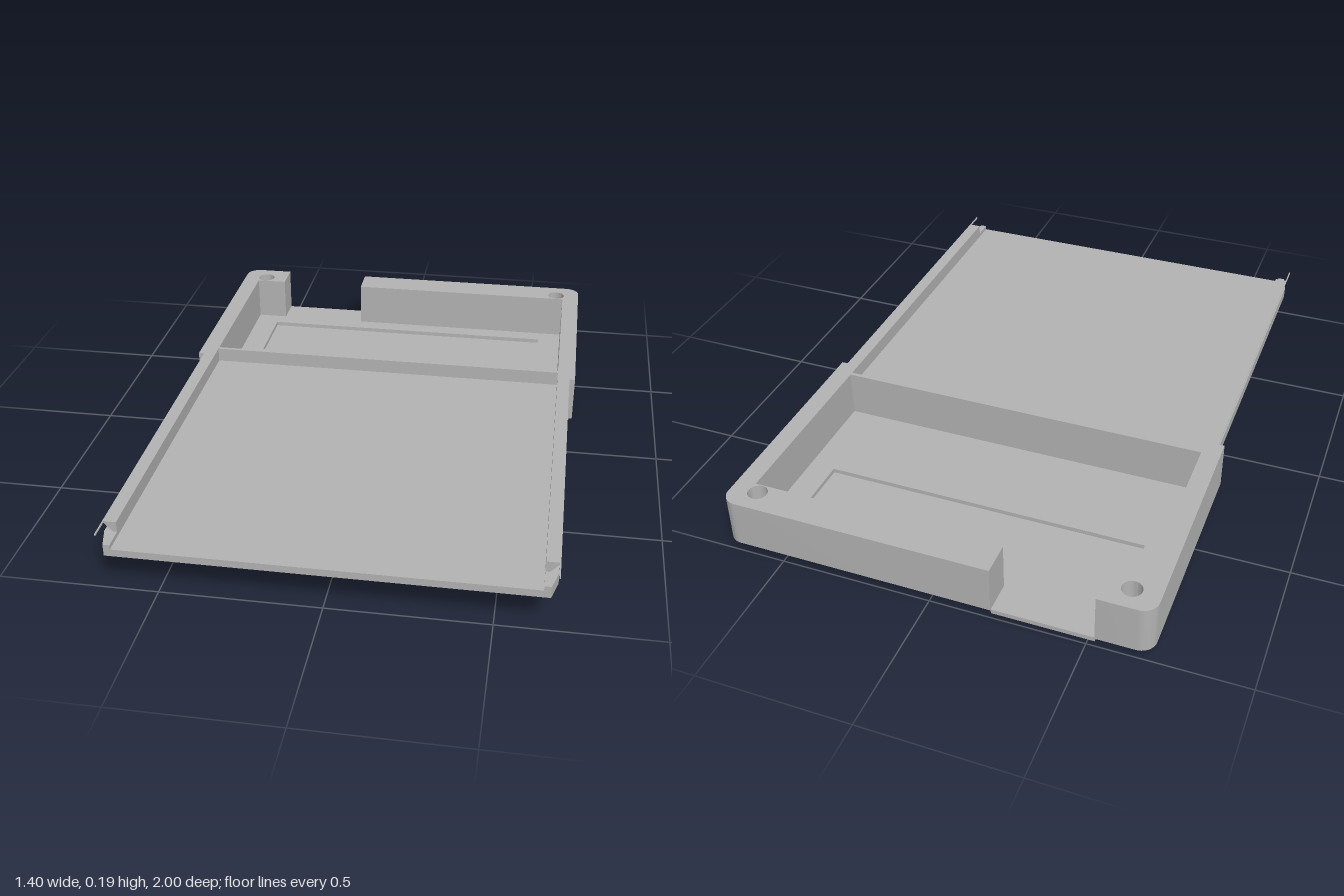
import * as THREE from 'three';
import { mergeGeometries, toCreasedNormals } from 'three/addons/utils/BufferGeometryUtils.js';

const W = 0.7, BACK = -1, FRONT = -0.19, TOP = 0.19; // rear housing
const IN = 0.637, CAV_BACK = -0.89, CAV_FRONT = -0.25; // cavity
const FLOOR = 0.03, R = 0.05; // cavity floor height, edge rounding
const PLATE_LOW = 0.116, PLATE_TOP = 0.14; // tray plate
const CUT_L = -0.525, CUT_R = -0.2; // opening in the rear wall
const HX = 0.61, HZ = -0.925, HOLE = 0.032, BORE = 0.045; // screw holes

// Height of the rounded underside at a point
function underside(x, z) {
  const ax = Math.abs(x), cx = W - R, cz = BACK + R;
  let d = ax > cx && z < cz
    ? R - Math.hypot(ax - cx, z - cz)
    : Math.min(W - ax, z - BACK, FRONT - z);
  d = Math.min(R, Math.max(0, d));
  return Math.min(FLOOR, R - Math.sqrt(R * R - (R - d) ** 2));
}

// Quad grid through point(i, j)
function grid(nu, nv, point) {
  const pos = [], index = [];
  for (let j = 0; j <= nv; j++) for (let i = 0; i <= nu; i++) pos.push(...point(i, j));
  for (let j = 0; j < nv; j++) for (let i = 0; i < nu; i++) {
    const a = j * (nu + 1) + i, c = a + nu + 1;
    index.push(a, a + 1, c, a + 1, c + 1, c);
  }
  const g = new THREE.BufferGeometry();
  g.setAttribute('position', new THREE.Float32BufferAttribute(pos, 3));
  g.setIndex(index);
  return g.toNonIndexed();
}

// Closed path from [x, z] points
function trace(path, pts) {
  pts.forEach(([x, z], i) => (i ? path.lineTo(x, -z) : path.moveTo(x, -z)));
  path.closePath();
  return path;
}

const rect = (x0, x1, z0, z1) => [[x0, z0], [x0, z1], [x1, z1], [x1, z0]];

function slab(shape, y0, y1) {
  return new THREE.ExtrudeGeometry(shape, { depth: y1 - y0, bevelEnabled: false, curveSegments: 24 })
    .rotateX(-Math.PI / 2).translate(0, y0, 0);
}

function block(x0, x1, y0, y1, z0, z1) {
  return new THREE.BoxGeometry(x1 - x0, y1 - y0, z1 - z0)
    .translate((x0 + x1) / 2, (y0 + y1) / 2, (z0 + z1) / 2);
}

// Half of the housing wall with its rounded rear corner and screw hole
function wallShape(s, cutX) {
  const pts = [[cutX, CAV_BACK], [cutX, BACK]];
  for (let i = 0; i <= 10; i++) {
    const a = (i / 10) * Math.PI / 2;
    pts.push([s * (W - R + R * Math.sin(a)), BACK + R - R * Math.cos(a)]);
  }
  pts.push([s * W, FRONT], [s * IN, FRONT], [s * IN, CAV_BACK]);
  const shape = trace(new THREE.Shape(), pts);
  shape.holes.push(new THREE.Path().absarc(s * HX, -HZ, HOLE, 0, Math.PI * 2));
  return shape;
}

// Underside: corner patches around the counterbores, plain grids elsewhere
function undersideGeometry() {
  const parts = [], px = 0.52, pz = -0.85, n = 24;
  const fillet = [0, 0.002, 0.004, 0.01, 0.018, 0.028, 0.038, R];
  const back = fillet.map((d) => BACK + d);
  const front = fillet.map((d) => FRONT - d).reverse();
  const left = fillet.map((d) => -W + d);
  const right = fillet.map((d) => W - d).reverse();
  const sheet = (xs, zs) => parts.push(grid(xs.length - 1, zs.length - 1,
    (i, j) => [xs[i], underside(xs[i], zs[j]), zs[j]]));
  sheet([-px, px], [...back, pz]);
  sheet([...left, -px, px, ...right], [pz, ...front]);

  const corners = [[W, pz], [W, BACK], [px, BACK], [px, pz], [W, pz]];
  for (const s of [1, -1]) {
    const rim = [];
    for (let k = 0; k < 4; k++) for (let i = 0; i < n; i++) {
      const t = i / n, [a, b] = [corners[k], corners[k + 1]];
      let x = a[0] + (b[0] - a[0]) * t, z = a[1] + (b[1] - a[1]) * t;
      const dx = x - W + R, dz = z - BACK - R, len = Math.hypot(dx, dz);
      if (dx > 0 && dz < 0 && len > R) {
        x = W - R + dx * R / len;
        z = BACK + R + dz * R / len;
      }
      rim.push([x * s, z]);
    }
    rim.push(rim[0]);
    if (s < 0) rim.reverse();
    const bore = rim.map(([x, z]) => {
      const a = Math.atan2(z - HZ, x - s * HX);
      return [s * HX + BORE * Math.cos(a), HZ + BORE * Math.sin(a)];
    });
    parts.push(grid(rim.length - 1, 10, (i, j) => {
      const v = 1 - (1 - j / 10) ** 2;
      const x = bore[i][0] + (rim[i][0] - bore[i][0]) * v;
      const z = bore[i][1] + (rim[i][1] - bore[i][1]) * v;
      return [x, underside(x, z), z];
    }));
    parts.push(grid(rim.length - 1, 1, (i, j) =>
      [bore[i][0], j ? underside(...bore[i]) : FLOOR, bore[i][1]]));
  }
  return toCreasedNormals(mergeGeometries(parts), 0.6);
}

export function createModel() {
  const model = new THREE.Group();
  model.name = 'slidingTrayHousing';
  const grey = new THREE.MeshStandardMaterial({ color: 0xb2b2b2 });
  grey.name = 'grey plastic';
  const add = (name, geometry) => {
    const mesh = new THREE.Mesh(geometry, grey);
    mesh.name = name;
    model.add(mesh);
  };

  // Rear housing
  add('housingUnderside', undersideGeometry());
  add('leftWall', toCreasedNormals(slab(wallShape(1, CUT_R), FLOOR, TOP), 0.5));
  add('rightWall', toCreasedNormals(slab(wallShape(-1, CUT_L), FLOOR, TOP), 0.5));
  add('frontWall', block(-IN, IN, FLOOR, PLATE_LOW, CAV_FRONT, FRONT));

  // Cavity floor with a shallow rectangular recess
  const recess = rect(-0.55, 0.55, -0.83, -0.57), low = 0.015;
  const floor = trace(new THREE.Shape(), [
    [-IN, CAV_FRONT], [IN, CAV_FRONT], [IN, CAV_BACK], [CUT_R, CAV_BACK],
    [CUT_R, BACK + 0.004], [CUT_L, BACK + 0.004], [CUT_L, CAV_BACK], [-IN, CAV_BACK],
  ]);
  floor.holes.push(trace(new THREE.Path(), recess));
  add('cavityFloor', slab(floor, low, FLOOR));
  add('recessFloor', new THREE.ShapeGeometry(trace(new THREE.Shape(), recess))
    .rotateX(-Math.PI / 2).translate(0, low, 0));

  // Tray plate and the lip at its rear edge
  add('trayPlate', block(-IN, IN, PLATE_LOW, PLATE_TOP, CAV_FRONT, 1));
  add('trayLip', block(-IN, IN, PLATE_TOP, TOP, CAV_FRONT, -0.237));

  // Side rails with an undercut groove, flange ends and thin tips
  const railEnd = 0.93, ledge = 0.155;
  for (const s of [1, -1]) {
    const side = s > 0 ? 'left' : 'right';
    const profile = new THREE.Shape([
      [IN, PLATE_LOW], [0.677, PLATE_LOW], [0.677, ledge], [0.65, ledge], [0.68, 0.187], [0.68, TOP], [IN, TOP],
    ].map(([x, y]) => new THREE.Vector2(s * x, y)));
    add(side + 'Rail', new THREE.ExtrudeGeometry(profile, { depth: railEnd - FRONT, bevelEnabled: false })
      .translate(0, 0, FRONT));
    const end = [[IN, railEnd], [0.677, railEnd], [0.658, 1], [IN, 1]].map(([x, z]) => [s * x, z]);
    add(side + 'RailEnd', slab(trace(new THREE.Shape(), end), PLATE_LOW, ledge));
    const tip = block(-0.002, 0.002, 0.185, TOP, railEnd, 1);
    add(side + 'RailTip', tip.translate(s * 0.678, 0, 0));
  }
  return model;
}
